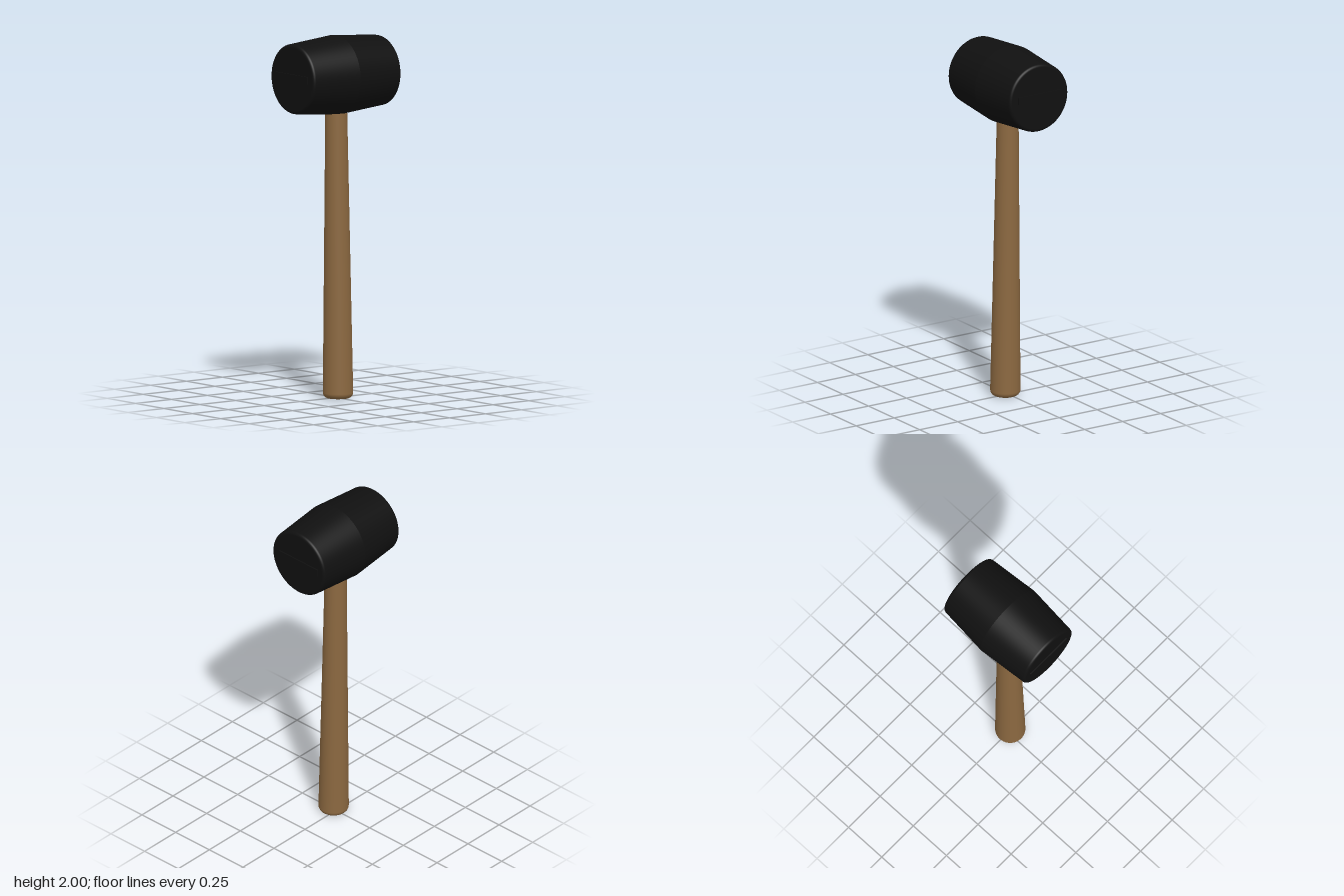
import * as THREE from 'three';

const HEAD_Y = 1.782, RIDGE_R = 0.218, END_R = 0.193, HALF = 0.305, FILLET = 0.017;

// Quarter-round profile points from the side of a turned part to its end
function fillet(r, y, size, dir, steps = 6) {
  return Array.from({ length: steps + 1 }, (_, i) => {
    const a = (i / steps) * Math.PI / 2;
    return new THREE.Vector2(r - size + size * Math.cos(a), y + dir * (size * Math.sin(a) - size));
  });
}

export function createModel() {
  const model = new THREE.Group();
  const rubber = new THREE.MeshStandardMaterial({ color: 0x101010 });
  const wood = new THREE.MeshStandardMaterial({ color: 0x8b6840 });

  // Head: two mirrored tapering halves meeting at a crisp middle ridge
  const halfProfile = [
    new THREE.Vector2(RIDGE_R, 0),
    ...fillet(END_R, HALF, FILLET, 1),
    new THREE.Vector2(0, HALF),
  ];
  const head = new THREE.Group();
  head.name = 'head';
  head.position.y = HEAD_Y;
  for (const side of [1, -1]) {
    const half = new THREE.Mesh(new THREE.LatheGeometry(halfProfile, 64), rubber);
    half.name = side > 0 ? 'headLeftHalf' : 'headRightHalf';
    half.rotation.z = -side * Math.PI / 2;
    head.add(half);

    // Plain raised strip across the striking face
    const strip = new THREE.Mesh(new THREE.BoxGeometry(0.02, 0.04, 0.286), rubber);
    strip.name = side > 0 ? 'leftFaceStrip' : 'rightFaceStrip';
    strip.position.set(side * 0.302, 0.008, -0.004);
    head.add(strip);
  }
  model.add(head);

  // Handle: tapered turned shaft with a rounded butt, ending inside the head
  const shaftProfile = [
    new THREE.Vector2(0, 0),
    ...fillet(0.083, 0, 0.03, -1).reverse(),
    new THREE.Vector2(0.06, 1.58),
    new THREE.Vector2(0.058, 1.75),
    new THREE.Vector2(0, 1.75),
  ];
  const shaft = new THREE.LatheGeometry(shaftProfile, 40);
  // Slight lean towards the front at the butt
  const lean = 0.018 / HEAD_Y;
  shaft.applyMatrix4(new THREE.Matrix4().set(
    1, 0, 0, 0,
    0, 1, 0, 0,
    0, -lean, 1, 0.018,
    0, 0, 0, 1,
  ));
  const handle = new THREE.Mesh(shaft, wood);
  handle.name = 'handle';
  model.add(handle);

  return model;
}
